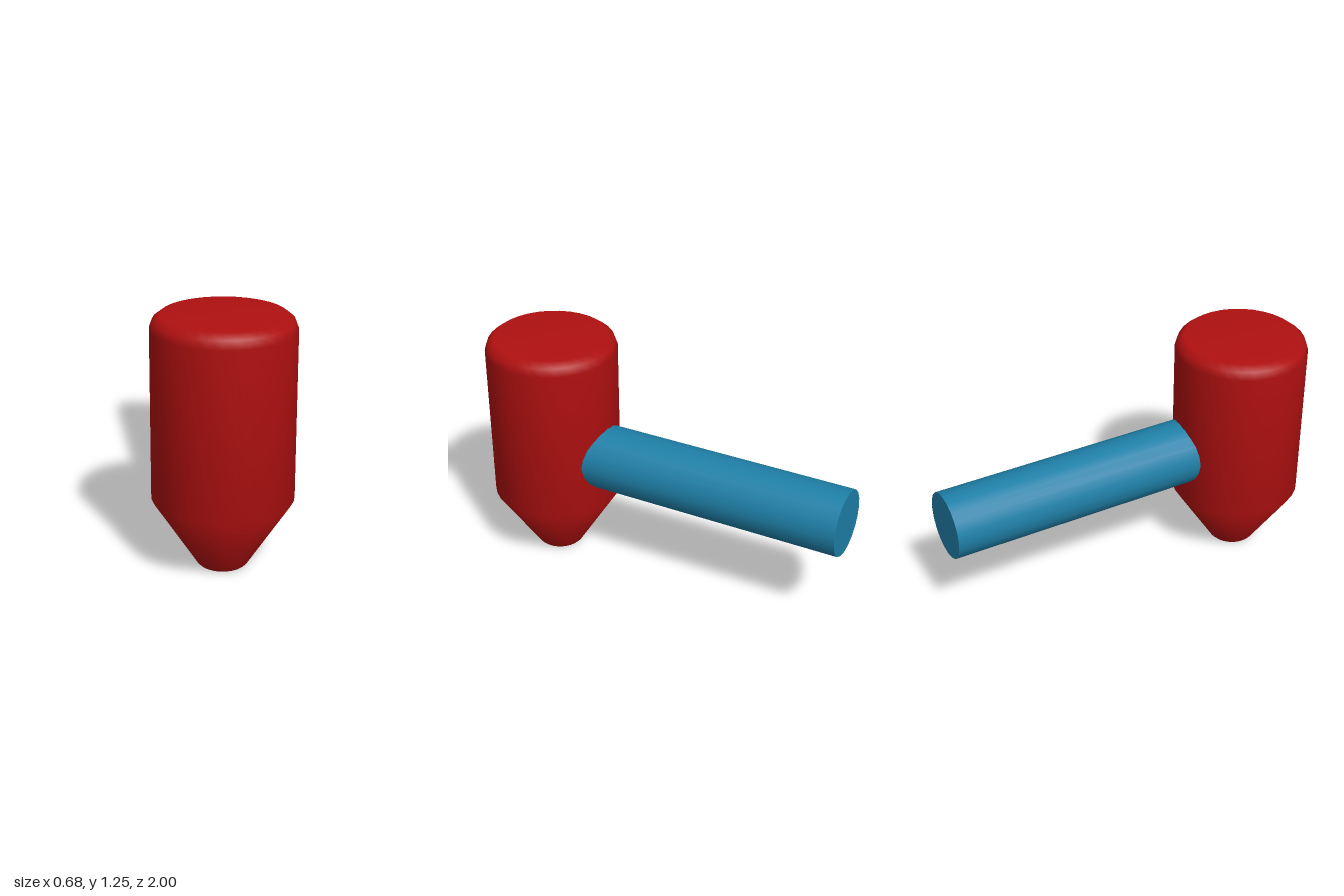
import * as THREE from 'three';

export function createModel() {
  const model = new THREE.Group();
  const red = new THREE.MeshStandardMaterial({ color: 0xb01010 });
  const blue = new THREE.MeshStandardMaterial({ color: 0x1f80a8 });

  // Head: upright cylinder with a rounded top rim and a tapered, blunt tip
  const profile = [
    [0, 0], [0.1, 0.002], [0.115, 0.006], [0.125, 0.016], [0.34, 0.355],
    [0.34, 1.18], [0.326, 1.22], [0.292, 1.246], [0, 1.25],
  ].map(([r, y]) => new THREE.Vector2(r, y));
  const head = new THREE.Mesh(new THREE.LatheGeometry(profile, 32), red);
  head.name = 'head';
  head.position.z = 0.66;
  model.add(head);

  // Handle: round bar running back from inside the head, slightly off centre
  const front = 0.6, back = -1;
  const handle = new THREE.Mesh(
    new THREE.CylinderGeometry(0.17, 0.17, front - back, 20), blue);
  handle.name = 'handle';
  handle.rotation.x = Math.PI / 2;
  handle.position.set(0.03, 0.63, (front + back) / 2);
  model.add(handle);

  return model;
}
